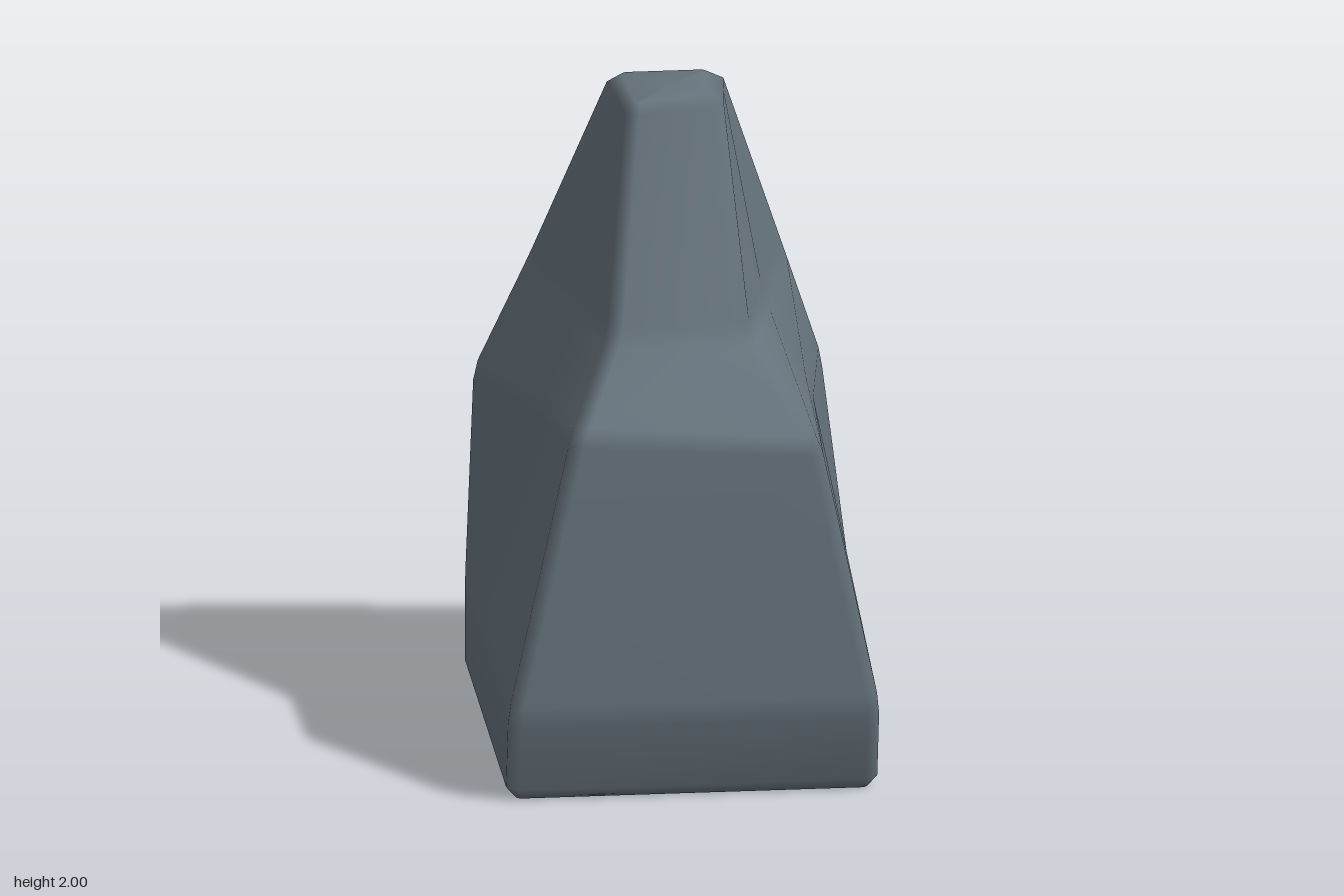
import * as THREE from 'three';

// Levels from bottom to top; each runs counter-clockwise seen from above:
// front -x, front +x, middle +x, back +x, back -x, middle -x
const LEVELS = [
  [[-0.525, 0, 0.575], [0.525, 0, 0.575], [0.525, 0, 0], [0.525, 0, -0.63], [-0.525, 0, -0.63], [-0.525, 0, 0]],
  [[-0.555, 0.035, 0.605], [0.555, 0.035, 0.605], [0.555, 0.035, 0], [0.555, 0.035, -0.66], [-0.555, 0.035, -0.66], [-0.555, 0.035, 0]],
  [[-0.555, 0.28, 0.665], [0.555, 0.28, 0.665], [0.555, 0.28, 0.03], [0.555, 0.28, -0.66], [-0.555, 0.28, -0.66], [-0.555, 0.28, 0.03]],
  [[-0.355, 1.13, 0.58], [0.38, 1.1, 0.65], [0.41, 1.09, 0.06], [0.515, 0.95, -0.645], [-0.535, 0.94, -0.665], [-0.39, 1.08, 0.12]],
  [[-0.22, 1.34, 0.32], [0.195, 1.34, 0.32], [0.275, 1.35, 0], [0.39, 1.35, -0.5], [-0.39, 1.35, -0.5], [-0.275, 1.35, 0]],
  [[-0.145, 1.97, 0.105], [0.15, 1.97, 0.045], [0.165, 1.97, -0.1], [0.18, 1.97, -0.265], [-0.175, 1.97, -0.265], [-0.16, 1.97, -0.1]],
  [[-0.115, 2, 0.07], [0.11, 2, 0.01], [0.115, 2, -0.1], [0.125, 2, -0.22], [-0.13, 2, -0.22], [-0.125, 2, -0.1]],
];
const CHAMFER = 0.038;

// Point a fixed distance from a towards b
function step(a, b, d) {
  return a.clone().add(b.clone().sub(a).setLength(d));
}

// Splits the four corners in two; the side middles stay single points
function chamferRing(points, d) {
  const p = points.map((q) => new THREE.Vector3(...q));
  const out = [];
  p.forEach((v, i) => {
    if (i === 2 || i === 5) out.push(v);
    else out.push(step(v, p[(i + 5) % 6], d), step(v, p[(i + 1) % 6], d));
  });
  return out;
}

function rockGeometry() {
  const base = LEVELS.map((l, i) => chamferRing(l, i === 0 || i === 6 ? 0.012 : CHAMFER));
  // Narrow bevels where the slope changes between levels
  const rings = [];
  base.forEach((ring, i) => {
    if (i < 2 || i > 4) rings.push(ring);
    else {
      rings.push(ring.map((v, j) => step(v, base[i - 1][j], 0.035)));
      rings.push(ring.map((v, j) => step(v, base[i + 1][j], 0.035)));
    }
  });

  const n = rings[0].length;
  const verts = rings.flat();
  const index = [];
  for (let i = 0; i < rings.length - 1; i++) {
    for (let j = 0; j < n; j++) {
      const a = i * n + j, b = i * n + (j + 1) % n;
      index.push(a, b, b + n, a, b + n, a + n);
    }
  }
  // Flat caps at bottom and top
  const last = (rings.length - 1) * n;
  const bottom = verts.length, top = bottom + 1;
  verts.push(new THREE.Vector3(0, 0, -0.03), new THREE.Vector3(0, 2, -0.09));
  for (let j = 0; j < n; j++) {
    const k = (j + 1) % n;
    index.push(bottom, k, j, top, last + j, last + k);
  }

  const geometry = new THREE.BufferGeometry().setFromPoints(verts);
  geometry.setIndex(index);
  geometry.computeVertexNormals(); // area weighted: flat faces, soft bevels
  return geometry;
}

export function createModel() {
  const group = new THREE.Group();
  group.name = 'rock';
  const rock = new THREE.Mesh(rockGeometry(), new THREE.MeshStandardMaterial({ color: 0x66737c }));
  rock.name = 'rockBody';
  group.add(rock);
  return group;
}
